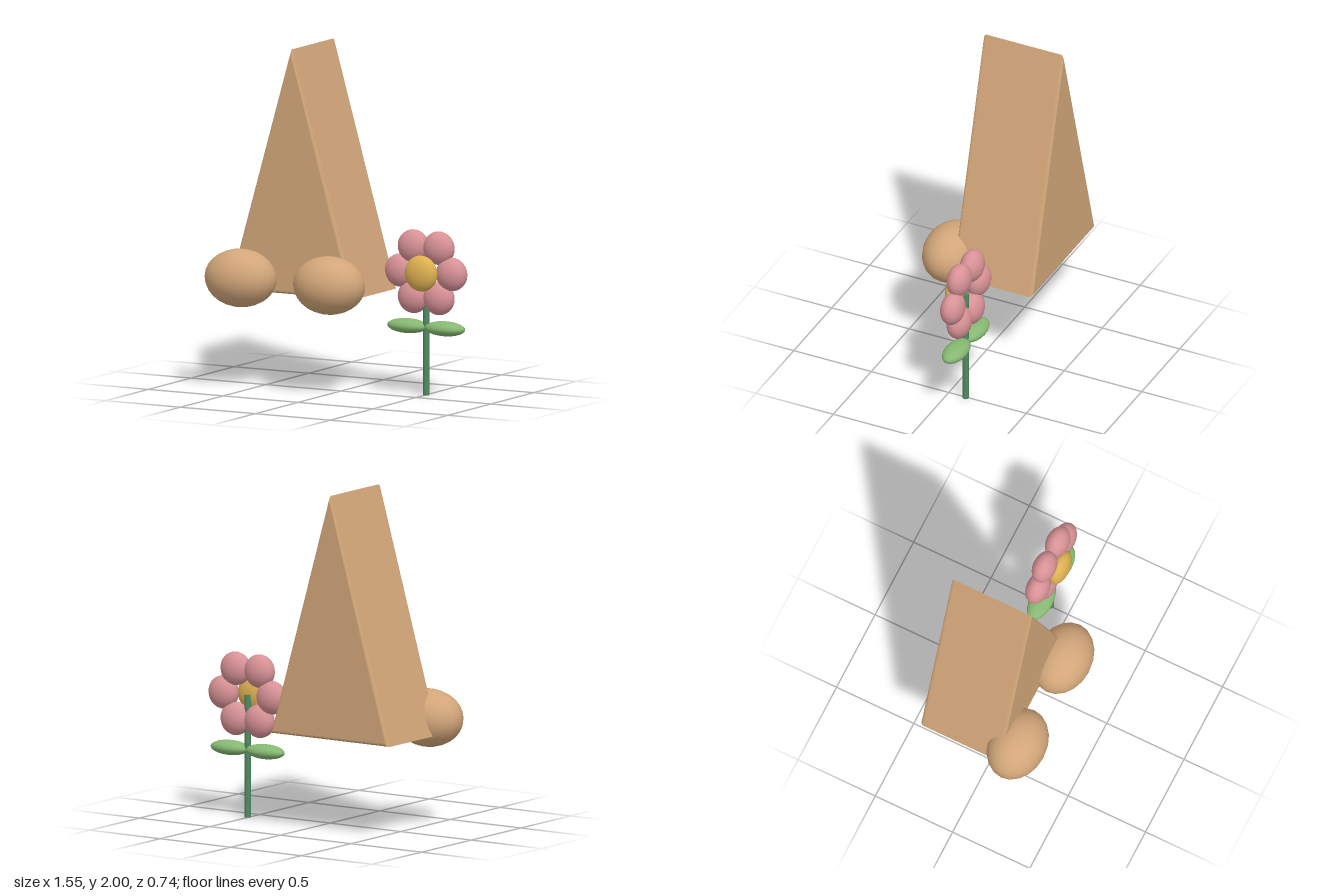
import * as THREE from 'three';

export function createModel() {
  const model = new THREE.Group();
  const mat = (name, color) => {
    const m = new THREE.MeshStandardMaterial({ color });
    m.name = name;
    return m;
  };
  const tan = mat('tan', 0xd2a679);
  const pink = mat('petal pink', 0xd89296);
  const gold = mat('flower gold', 0xdfb252);
  const leafGreen = mat('leaf green', 0x86b872);
  const stemGreen = mat('stem green', 0x528a62);

  const add = (parent, name, geometry, material, x, y, z) => {
    const mesh = new THREE.Mesh(geometry, material);
    mesh.name = name;
    mesh.position.set(x, y, z);
    parent.add(mesh);
    return mesh;
  };
  const ellipsoid = (rx, ry, rz) => new THREE.SphereGeometry(1, 20, 14).scale(rx, ry, rz);

  // Tall triangular wedge with softened edges
  const bevel = 0.02, halfBase = 0.395;
  const triangle = new THREE.Shape();
  triangle.moveTo(-halfBase, 0.582);
  triangle.lineTo(halfBase, 0.582);
  triangle.lineTo(0, 1.972);
  triangle.closePath();
  const wedge = new THREE.ExtrudeGeometry(triangle, {
    depth: 0.475, bevelEnabled: true, bevelSize: bevel, bevelThickness: bevel, bevelSegments: 4,
  });
  add(model, 'wedgeBody', wedge, tan, -0.255, 0, -0.352);

  // Rounded lumps at the front corners
  for (const [name, side] of [['rightLump', -1], ['leftLump', 1]]) {
    add(model, name, ellipsoid(0.222, 0.17, 0.17), tan, -0.26 + side * 0.295, 0.648, 0.2);
  }

  // Flower
  const flower = new THREE.Group();
  flower.name = 'flower';
  flower.position.set(0.505, 0, -0.112);
  model.add(flower);

  add(flower, 'stem', new THREE.CylinderGeometry(0.018, 0.018, 0.72, 12), stemGreen, 0, 0.36, 0);
  for (const [name, side] of [['rightLeaf', -1], ['leftLeaf', 1]]) {
    add(flower, name, ellipsoid(0.13, 0.043, 0.068), leafGreen, side * 0.125, 0.398, 0);
  }

  const petal = ellipsoid(0.098, 0.098, 0.068);
  for (let i = 0; i < 6; i++) {
    const a = i * Math.PI / 3;
    add(flower, 'petal', petal, pink, 0.17 * Math.cos(a), 0.72 + 0.17 * Math.sin(a), 0);
  }
  add(flower, 'flowerCentre', ellipsoid(0.105, 0.105, 0.055), gold, 0, 0.72, 0.06);

  return model;
}
